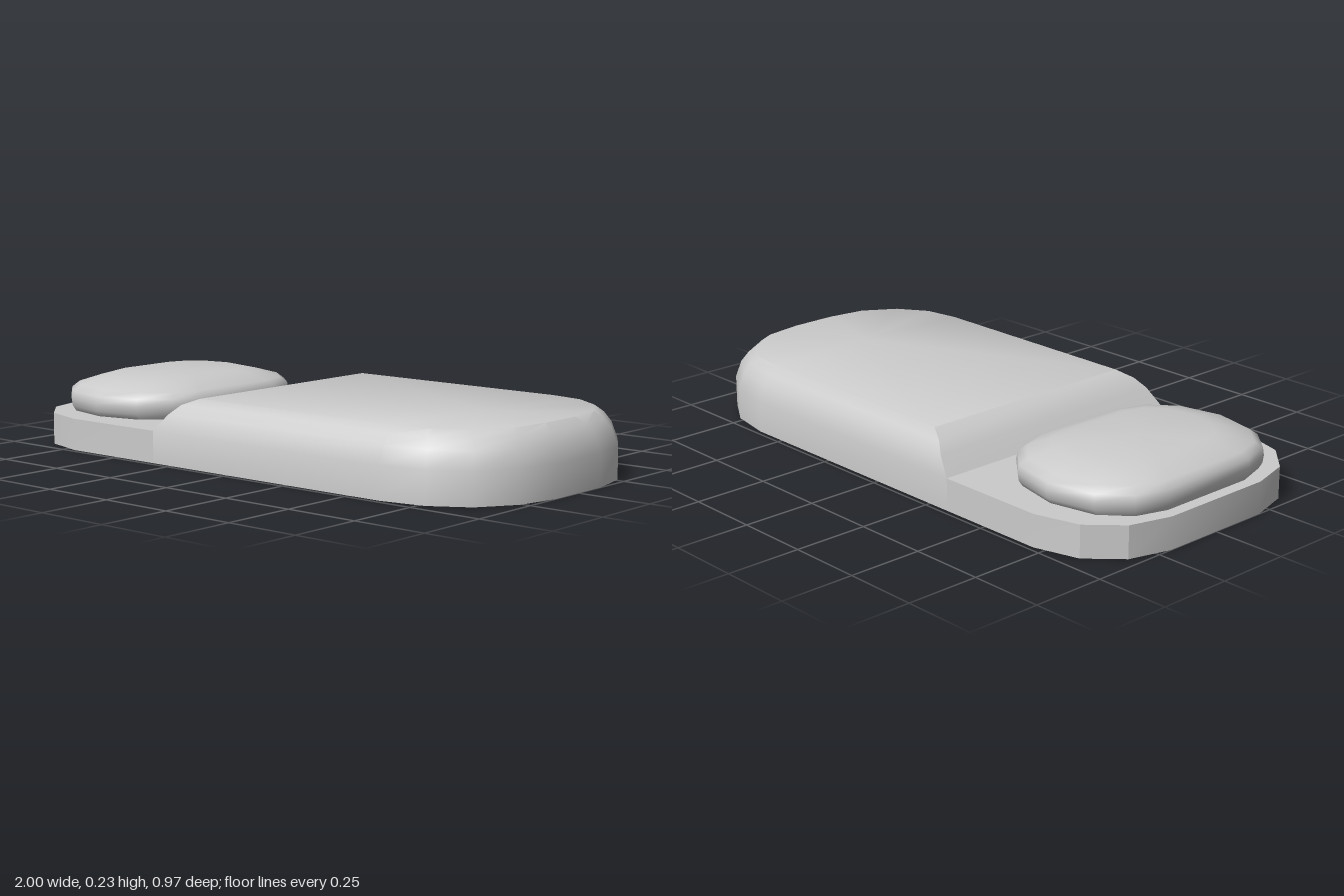
import * as THREE from 'three';
import { toCreasedNormals } from 'three/addons/utils/BufferGeometryUtils.js';

const material = new THREE.MeshStandardMaterial({ color: 0xcccccc });

// Half outline (+z side, running from +x to -x) closed by its mirror image.
const mirror = (half) => [...half, ...half.map(([x, z]) => [x, -z]).reverse()];

// Skins a stack of equal-length convex outlines and caps both ends.
function loft(name, rings, crease) {
  const n = rings[0].points.length;
  const positions = [];
  const index = [];
  const add = (x, y, z) => positions.push(x, y, z) / 3 - 1;
  for (const { points, y } of rings) for (const [x, z] of points) add(x, y, z);

  const centre = ({ points, y }) =>
    add(points.reduce((s, p) => s + p[0], 0) / n, y, points.reduce((s, p) => s + p[1], 0) / n);
  const bottom = centre(rings[0]);
  const top = centre(rings[rings.length - 1]);
  const last = (rings.length - 1) * n;

  for (let i = 0; i < n; i++) {
    const j = (i + 1) % n;
    for (let r = 0; r < last; r += n) {
      index.push(r + i, r + n + i, r + j, r + j, r + n + i, r + n + j);
    }
    index.push(bottom, i, j, top, last + j, last + i);
  }
  const geometry = new THREE.BufferGeometry();
  geometry.setAttribute('position', new THREE.Float32BufferAttribute(positions, 3));
  geometry.setIndex(index);
  const mesh = new THREE.Mesh(toCreasedNormals(geometry, crease), material);
  mesh.name = name;
  return mesh;
}

export function createModel() {
  const group = new THREE.Group();
  group.name = 'bed';
  const deckY = 0.107;

  // Low deck under the pillow
  const deck = mirror([[-0.33, 0.483], [-0.71, 0.483], [-0.86, 0.44], [-0.96, 0.34], [-1, 0.2]]);
  group.add(loft('lowDeck', [{ points: deck, y: 0 }, { points: deck, y: deckY }], 0.45));

  // Raised block: blends from the full outline to the inset top outline;
  // the step facing the pillow recedes faster than the sides
  const outer = [[1, 0.12], [0.97, 0.26], [0.89, 0.38], [0.77, 0.455], [0.62, 0.483], [-0.33, 0.483]];
  const inner = [[0.93, 0.08], [0.91, 0.21], [0.84, 0.32], [0.74, 0.387], [0.62, 0.407], [-0.19, 0.407]];
  const blockRing = ([t, step, y]) => {
    const half = outer.map(([x, z], i) => [
      THREE.MathUtils.lerp(x, inner[i][0], t),
      THREE.MathUtils.lerp(z, inner[i][1], t),
    ]);
    half[half.length - 1][0] = step;
    return { points: mirror(half), y };
  };
  group.add(loft('raisedBlock', [
    [0, -0.33, 0], [0, -0.33, deckY], [0.27, -0.28, 0.163],
    [0.6, -0.245, 0.195], [1, -0.19, 0.217],
  ].map(blockRing), 0.65));

  // Pillow: oval outline that rounds over to a small flat top
  const pillow = mirror([
    [0.285, 0.18], [0.25, 0.29], [0.16, 0.37], [0, 0.405],
    [-0.16, 0.37], [-0.25, 0.29], [-0.285, 0.18],
  ]);
  const cushion = loft('pillow', [
    [0.96, deckY], [0.99, 0.125], [1, 0.15], [0.99, 0.176], [0.92, 0.196], [0.72, 0.218], [0.59, 0.23],
  ].map(([s, y]) => ({ points: pillow.map(([x, z]) => [x * s, z * s]), y })), 1);
  cushion.position.x = -0.685;
  group.add(cushion);

  return group;
}
